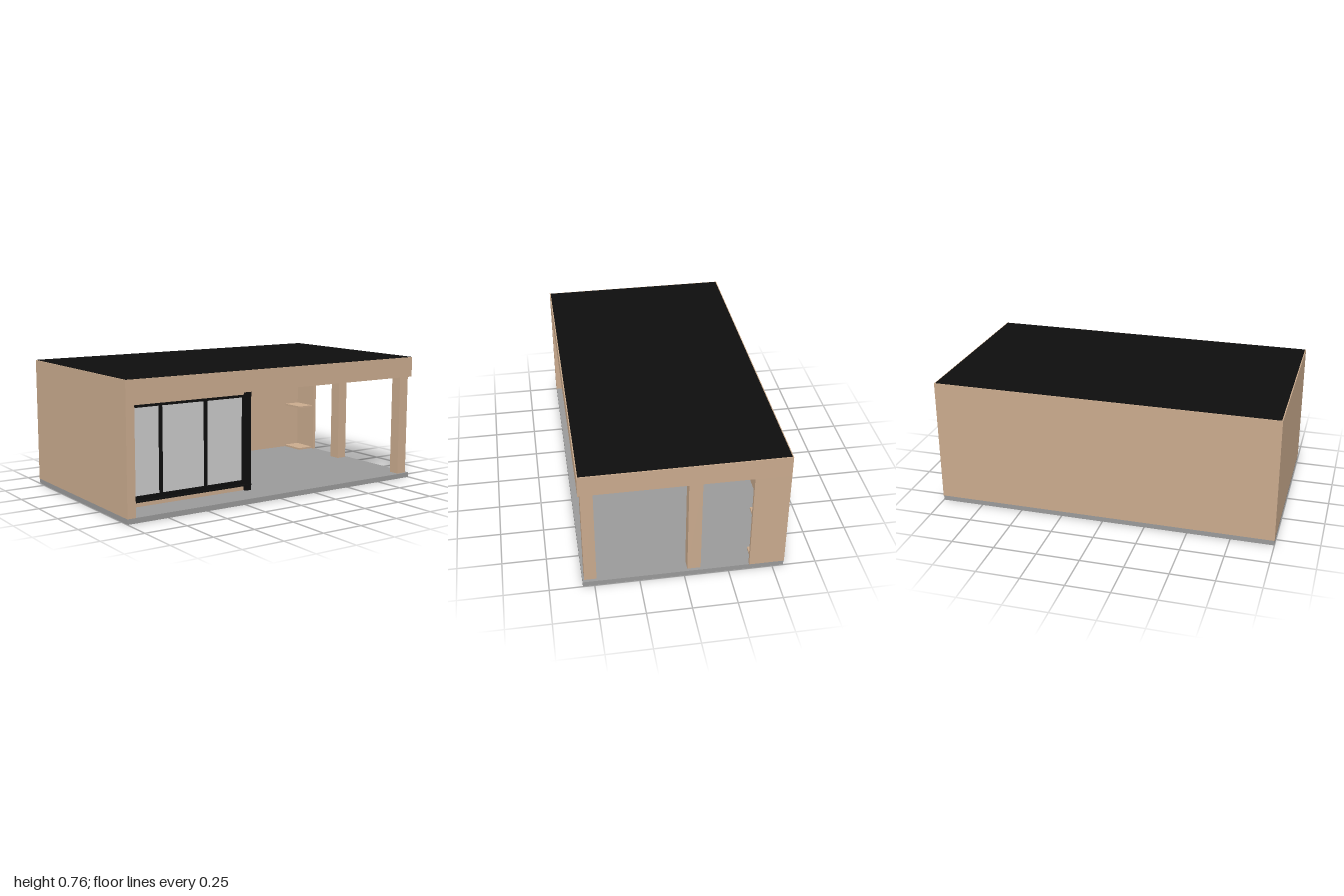
import * as THREE from 'three';

const mat = (name, color) => new THREE.MeshStandardMaterial({ name, color });

export function createModel() {
  const wood = mat('timber cladding', 0xc9aa8d);
  const black = mat('black frame', 0x0d0d0d);
  const glass = mat('window glass', 0xc8c8c8);
  const concrete = mat('concrete slab', 0x999999);
  const model = new THREE.Group();
  model.name = 'gardenPavilion';

  // Box given by its minimum and maximum corners
  function box(name, material, [x0, y0, z0], [x1, y1, z1], parent = model) {
    const mesh = new THREE.Mesh(new THREE.BoxGeometry(x1 - x0, y1 - y0, z1 - z0), material);
    mesh.position.set((x0 + x1) / 2, (y0 + y1) / 2, (z0 + z1) / 2);
    mesh.name = name;
    parent.add(mesh);
    return mesh;
  }

  const trace = (path, [x0, y0, x1, y1]) =>
    path.moveTo(x0, y0).lineTo(x1, y0).lineTo(x1, y1).lineTo(x0, y1).closePath();

  // Upright panel with rectangular openings, from z0 to z1
  function panel(name, material, outline, openings, z0, z1, parent) {
    const shape = trace(new THREE.Shape(), outline);
    for (const o of openings) shape.holes.push(trace(new THREE.Path(), o));
    const geometry = new THREE.ExtrudeGeometry(shape, { depth: z1 - z0, bevelEnabled: false });
    const mesh = new THREE.Mesh(geometry, material);
    mesh.position.z = z0;
    mesh.name = name;
    parent.add(mesh);
  }

  // Black frame with a pane in each opening
  function glazing(name, outline, panes, parent) {
    const group = new THREE.Group();
    group.name = name;
    panel('frame', black, outline, panes, 0, 0.036, group);
    for (const [x0, y0, x1, y1] of panes) box('pane', glass, [x0, y0, 0.016], [x1, y1, 0.024], group);
    parent.add(group);
  }

  // Floor and roof
  box('floorSlab', concrete, [-0.998, 0, -0.565], [0.998, 0.03, 0.565]);
  box('roofFascia', wood, [-1, 0.638, -0.567], [1, 0.759, 0.567]);
  box('roofCovering', black, [-0.994, 0.757, -0.561], [0.994, 0.761, 0.561]);

  // Closed outer walls
  box('leftEndWall', wood, [-1, 0.03, -0.567], [-0.95, 0.638, 0.567]);
  box('backWall', wood, [-0.95, 0.03, -0.567], [1, 0.638, -0.547]);
  box('returnWall', wood, [0.98, 0.03, -0.547], [1, 0.638, -0.368]);

  // Porch posts and shelves
  for (const [z0, z1] of [[0.487, 0.555], [-0.095, -0.02]])
    box('porchPost', wood, [0.915, 0.03, z0], [0.98, 0.638, z1]);
  for (const y of [0.03, 0.325])
    box('shelf', wood, [0.87, y, -0.547], [0.98, y + 0.012, -0.385]);

  // Front of the room
  const front = new THREE.Group();
  front.name = 'roomFront';
  front.position.z = 0.345;
  const frontFrame = [-0.95, 0.06, -0.13, 0.592];
  panel('frontWall', wood, [-0.95, 0.03, -0.13, 0.638], [[-0.949, 0.06, -0.131, 0.592]], 0, 0.03, front);
  glazing('frontWindow', frontFrame,
    [[-0.935, -0.695], [-0.677, -0.403], [-0.385, -0.143]].map(([a, b]) => [a, 0.09, b, 0.578]), front);
  box('frontSill', black, [-0.95, 0.06, 0.03], [-0.095, 0.068, 0.055], front);
  model.add(front);

  // Room side facing the porch, local x running towards the back
  const side = new THREE.Group();
  side.name = 'roomSide';
  side.rotation.y = Math.PI / 2;
  side.position.x = -0.138;
  const openings = [
    ['sideWindow', [-0.33, -0.14], [-0.318, -0.155], 0.09, 0.583],
    ['porchDoor', [-0.11, 0.092], [-0.078, 0.066], 0.105, 0.57],
    ['porchDoor', [0.092, 0.305], [0.116, 0.276], 0.105, 0.57],
    ['sideWindow', [0.33, 0.52], [0.343, 0.507], 0.09, 0.583],
  ];
  panel('sideWall', wood, [-0.36, 0.03, 0.547, 0.638],
    [[-0.33, -0.14], [-0.11, 0.305], [0.33, 0.52]].map(([a, b]) => [a, 0.057, b, 0.595]), 0, 0.03, side);
  for (const [name, [a, b], [c, d], low, high] of openings)
    glazing(name, [a, 0.057, b, 0.595], [[c, low, d, high]], side);
  box('doorHandle', glass, [0.287, 0.31, 0.036], [0.292, 0.388, 0.046], side);
  model.add(side);

  // Black post where the two glazed sides meet
  box('cornerPost', black, [-0.132, 0.03, 0.358], [-0.095, 0.638, 0.395]);

  return model;
}
